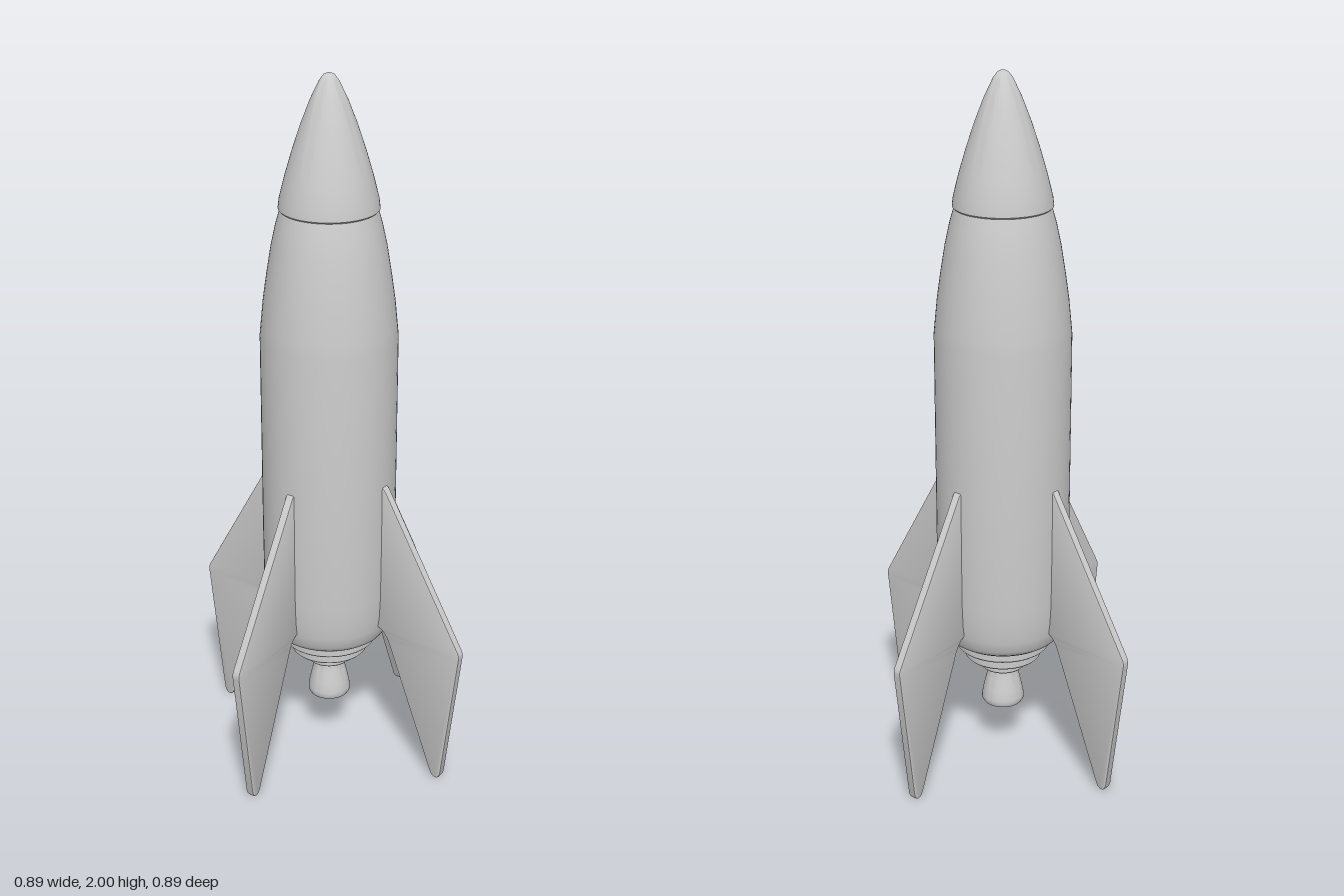
import * as THREE from 'three';
import { toCreasedNormals } from 'three/addons/utils/BufferGeometryUtils.js';

const material = new THREE.MeshStandardMaterial({ color: 0xcccccc });
const v = ([x, y]) => new THREE.Vector2(x, y);

// Solid of revolution from [radius, height] pairs, listed bottom to top
function turned(name, profile) {
  const geometry = new THREE.LatheGeometry(profile.map(v), 64);
  const mesh = new THREE.Mesh(toCreasedNormals(geometry, 0.6), material);
  mesh.name = name;
  return mesh;
}

function finGeometry() {
  const shape = new THREE.Shape();
  shape.moveTo(0.17, 0.89);
  shape.lineTo(0.19, 0.87);
  shape.lineTo(0.437, 0.442);
  shape.quadraticCurveTo(0.443, 0.432, 0.441, 0.42);
  shape.lineTo(0.392, 0.02);
  shape.quadraticCurveTo(0.388, 0.004, 0.379, 0.004);
  shape.quadraticCurveTo(0.369, 0.004, 0.363, 0.02);
  shape.lineTo(0.22, 0.385);
  shape.quadraticCurveTo(0.208, 0.42, 0.185, 0.435);
  shape.lineTo(0.17, 0.44);
  // Thin plate with softly rounded edges
  const geometry = new THREE.ExtrudeGeometry(shape, {
    depth: 0.016, bevelEnabled: true, bevelThickness: 0.004,
    bevelSize: 0.004, bevelSegments: 2, curveSegments: 5,
  });
  geometry.translate(0, 0, -0.008);
  return toCreasedNormals(geometry, 0.6);
}

export function createModel() {
  const group = new THREE.Group();
  const hull = new THREE.Group();
  hull.name = 'hull';
  hull.position.z = -0.004;
  group.add(hull);

  // Fuselage: rounded lower rim, straight sides, curved shoulder
  hull.add(turned('fuselage', [
    [0, 0.372], [0.135, 0.372], [0.15, 0.376], [0.164, 0.386], [0.173, 0.4],
    [0.179, 0.43], [0.184, 0.47], [0.187, 0.53], [0.188, 0.7], [0.188, 1.29],
    [0.185, 1.32], [0.178, 1.39], [0.168, 1.46], [0.155, 1.54], [0.142, 1.6],
    [0.13, 1.642], [0, 1.642],
  ]));

  // Nose cone with a slight overhang at the seam
  hull.add(turned('noseCone', [
    [0, 1.638], [0.128, 1.638], [0.135, 1.645], [0.132, 1.67], [0.117, 1.73],
    [0.098, 1.795], [0.075, 1.865], [0.05, 1.93], [0.026, 1.98],
    [0.015, 1.995], [0.007, 1.999], [0, 2],
  ]));

  // Stepped engine mount
  const steps = [[0.135, 0.345, 0.38], [0.11, 0.309, 0.35], [0.065, 0.27, 0.315]];
  steps.forEach(([r, low, high], i) => {
    hull.add(turned(`engineStep${i + 1}`, [
      [0, low], [r - 0.004, low], [r, low + 0.004], [r, high], [0, high],
    ]));
  });

  // Hollow flared nozzle
  hull.add(turned('nozzle', [
    [0, 0.215], [0.03, 0.215], [0.038, 0.185], [0.043, 0.158], [0.048, 0.154],
    [0.057, 0.155], [0.061, 0.162], [0.061, 0.174], [0.056, 0.2],
    [0.048, 0.235], [0.042, 0.258], [0.042, 0.275], [0, 0.275],
  ]));

  // Four fins around the hull
  const geometry = finGeometry();
  ['leftFin', 'backFin', 'rightFin', 'frontFin'].forEach((name, i) => {
    const fin = new THREE.Mesh(geometry, material);
    fin.name = name;
    fin.rotation.y = i * Math.PI / 2;
    group.add(fin);
  });
  return group;
}
